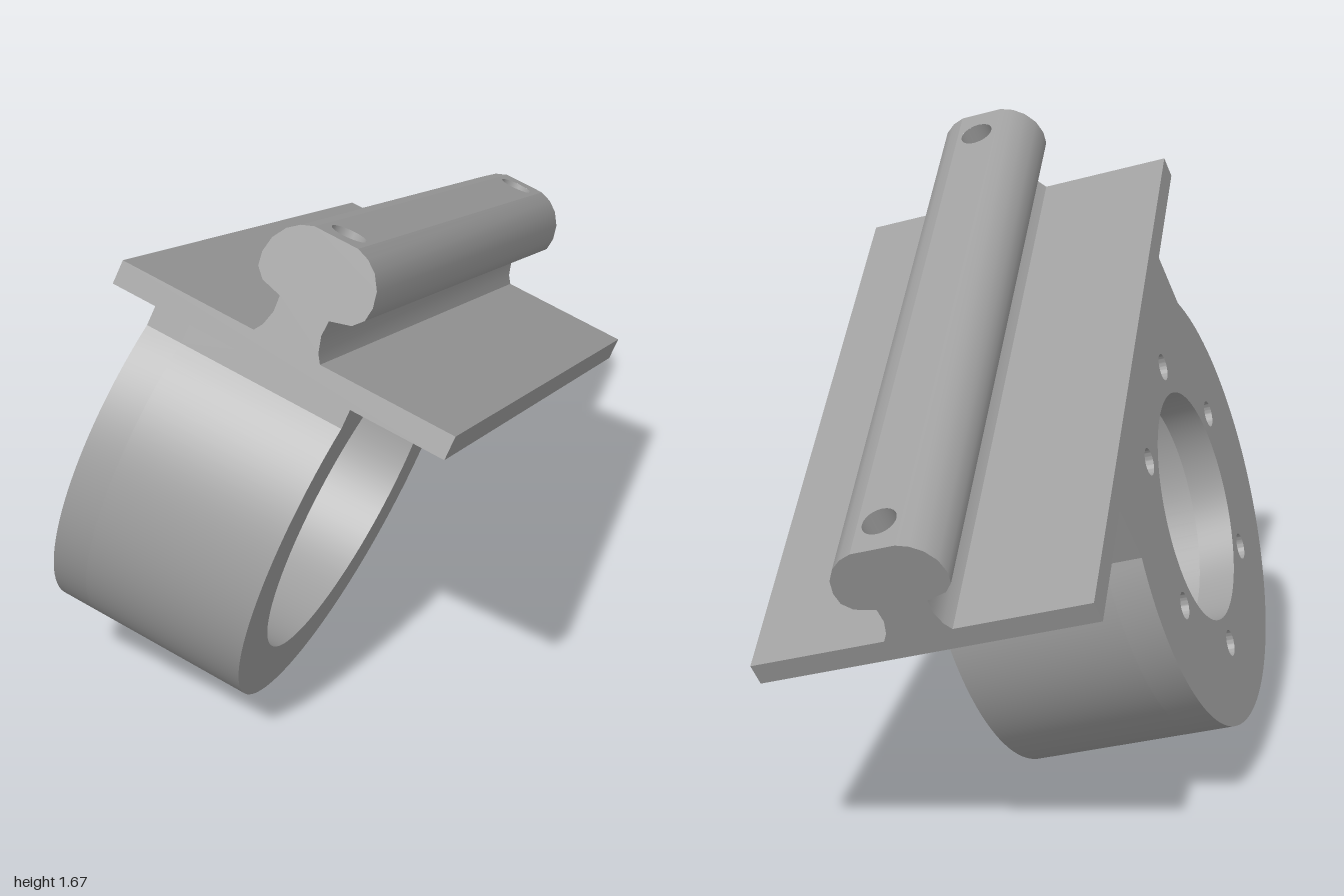
import * as THREE from 'three';
import { toCreasedNormals } from 'three/addons/utils/BufferGeometryUtils.js';

const metal = new THREE.MeshStandardMaterial({ color: 0xa0a0a0 });
metal.name = 'plain grey';

const MID_X = -0.22, MID_Z = 0.342;       // middle of plate and rail
const LENGTH = 1.82, BOLT_Z = 0.81, BOLT_R = 0.045;
const PLATE_LOW = 0.936, PLATE_TOP = 0.998, RAIL_TOP = 1.284;
const RING_Y = 0.473;

function part(name, geometry, parent) {
  const mesh = new THREE.Mesh(geometry, metal);
  mesh.name = name;
  parent.add(mesh);
  return mesh;
}

function circleHole(shape, x, y, r) {
  const hole = new THREE.Path();
  hole.absarc(x, y, r, 0, Math.PI * 2, true);
  shape.holes.push(hole);
}

// Long rectangle in plan, with the two bolt holes
function planShape(halfWidth) {
  const h = LENGTH / 2;
  const s = new THREE.Shape([
    new THREE.Vector2(-halfWidth, -h), new THREE.Vector2(halfWidth, -h),
    new THREE.Vector2(halfWidth, h), new THREE.Vector2(-halfWidth, h),
  ]);
  for (const side of [-1, 1]) circleHole(s, 0, side * BOLT_Z, BOLT_R);
  return s;
}

// Ring outline that widens into a straight-sided foot under the plate
function ringShape() {
  const s = new THREE.Shape();
  s.moveTo(0.52, 0.95);
  s.lineTo(-0.52, 0.95);
  s.absarc(0, RING_Y, 0.6, Math.PI * 5 / 6, Math.PI * 13 / 6, false);
  s.closePath();
  return s;
}

function ringSlice(name, shape, x0, x1, parent) {
  const g = new THREE.ExtrudeGeometry(shape, { depth: x1 - x0, bevelEnabled: false, curveSegments: 40 });
  g.rotateY(Math.PI / 2);
  g.translate(x0, 0, MID_Z);
  part(name, toCreasedNormals(g, 0.4), parent);
}

function buildRail(parent) {
  const rail = new THREE.Group();
  rail.name = 'rail';
  rail.position.set(MID_X, 0, MID_Z);
  parent.add(rail);

  // Cross-section: flared foot, narrow stem, rounded head
  const right = [
    [0.095, 0.99], [0.075, 1.02], [0.064, 1.06], [0.066, 1.1], [0.12, 1.115], [0.143, 1.14],
    [0.148, 1.175], [0.14, 1.215], [0.118, 1.25], [0.09, 1.272], [0.058, RAIL_TOP],
  ];
  const profile = [...right, ...right.map(([x, y]) => [-x, y]).reverse()];
  const h = LENGTH / 2, pos = [];
  for (let i = 0; i < profile.length - 1; i++) {
    if (i === right.length - 1) continue; // flat crown is made separately
    const [ax, ay] = profile[i], [bx, by] = profile[i + 1];
    pos.push(ax, ay, h, ax, ay, -h, bx, by, -h, ax, ay, h, bx, by, -h, bx, by, h);
  }
  const sides = new THREE.BufferGeometry();
  sides.setAttribute('position', new THREE.Float32BufferAttribute(pos, 3));
  part('railSides', toCreasedNormals(sides, 0.75), rail);

  const endShape = new THREE.Shape(profile.map(([x, y]) => new THREE.Vector2(x, y)));
  for (const side of [1, -1]) {
    const end = part('railEnd', new THREE.ShapeGeometry(endShape), rail);
    end.position.z = side * h;
    if (side < 0) end.rotation.y = Math.PI;
  }

  const crown = new THREE.ShapeGeometry(planShape(0.058), 16);
  crown.rotateX(-Math.PI / 2);
  part('railCrown', crown, rail).position.y = RAIL_TOP;

  // Inward-facing walls of the bolt holes
  for (const side of [-1, 1]) {
    const bore = new THREE.LatheGeometry(
      [new THREE.Vector2(BOLT_R, RAIL_TOP), new THREE.Vector2(BOLT_R, PLATE_LOW)], 24);
    part('boltHole', bore, rail).position.z = side * BOLT_Z;
  }
}

export function createModel() {
  const model = new THREE.Group();
  model.name = 'ringMountWithRail';

  // Tilted frame: x along the ring axis, y out of the plate, z along the rail
  const body = new THREE.Group();
  body.name = 'tiltedBody';
  const bx = new THREE.Vector3(0.84, -0.29, 0.46).normalize();
  const by = new THREE.Vector3(0.418, 0.886, -0.205);
  by.addScaledVector(bx, -by.dot(bx)).normalize();
  const bz = new THREE.Vector3().crossVectors(bx, by);
  body.quaternion.setFromRotationMatrix(new THREE.Matrix4().makeBasis(bx, by, bz));
  model.add(body);

  // Base plate
  const plate = new THREE.ExtrudeGeometry(planShape(0.45),
    { depth: PLATE_TOP - PLATE_LOW, bevelEnabled: false, curveSegments: 16 });
  plate.rotateX(-Math.PI / 2);
  plate.translate(MID_X, PLATE_LOW, MID_Z);
  part('basePlate', toCreasedNormals(plate, 0.4), body);

  buildRail(body);

  // Open sleeve
  const sleeve = ringShape();
  circleHole(sleeve, 0, RING_Y, 0.455);
  ringSlice('sleeve', sleeve, -0.57, -0.104, body);

  // Back wall with a central opening and six screw holes
  const wall = ringShape();
  circleHole(wall, 0, RING_Y, 0.313);
  for (let i = 0; i < 6; i++) {
    const a = i * Math.PI / 3;
    circleHole(wall, Math.cos(a) * 0.388, RING_Y + Math.sin(a) * 0.388, 0.036);
  }
  ringSlice('backWall', wall, -0.67, -0.57, body);

  return model;
}
